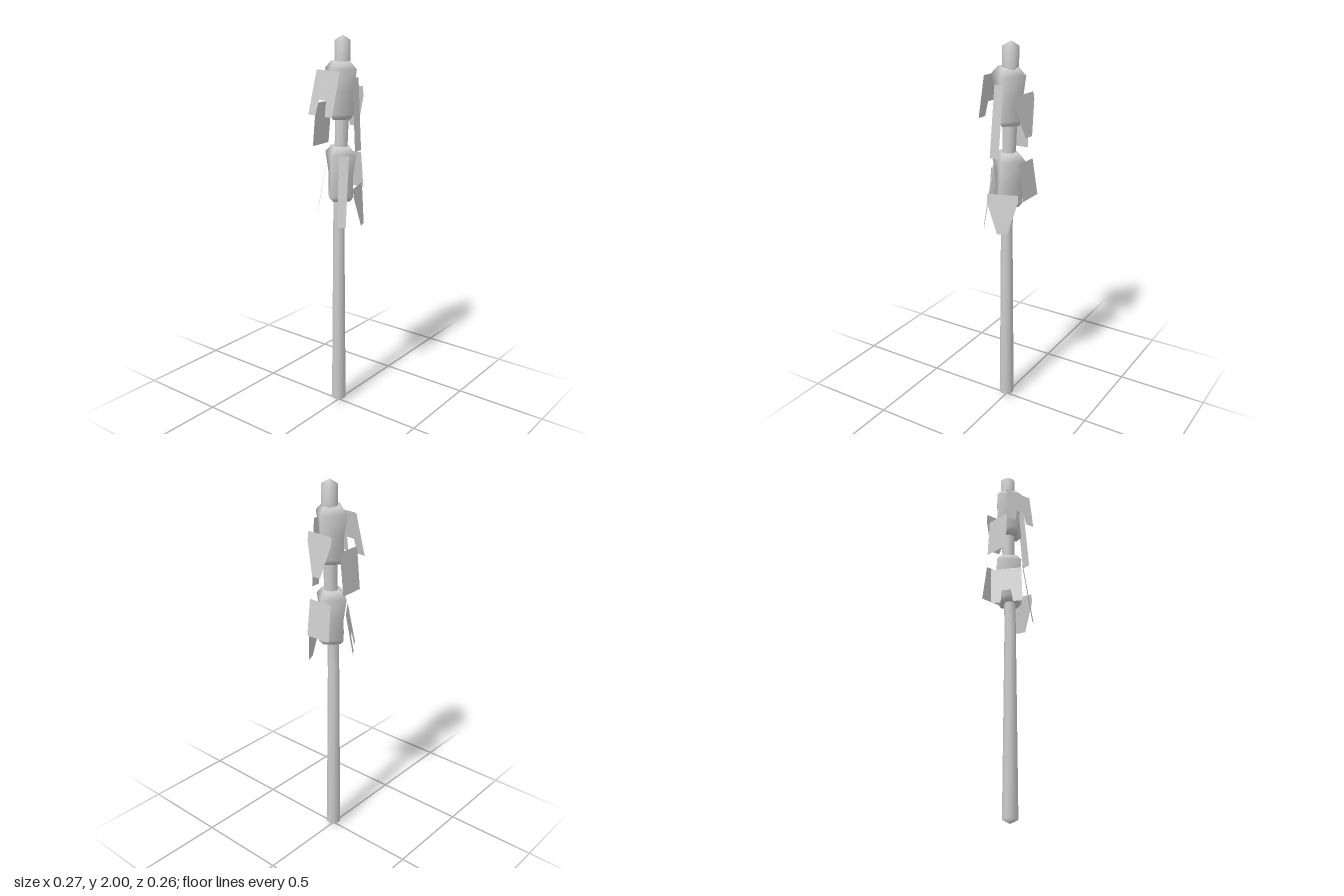
import * as THREE from 'three';

const solid = new THREE.MeshStandardMaterial({ color: 0xcccccc });
const thin = new THREE.MeshStandardMaterial({ color: 0xcccccc, side: THREE.DoubleSide });

// Closed skin over rings of [x, y, z, radius, turn], listed from bottom to top
function loft(name, rings, sides) {
  const pos = [], idx = [];
  for (const [x, y, z, r, turn = 0] of rings) {
    for (let j = 0; j < sides; j++) {
      const a = (j / sides) * Math.PI * 2 + turn;
      pos.push(x + r * Math.cos(a), y, z + r * Math.sin(a));
    }
  }
  for (let i = 0; i < rings.length - 1; i++) {
    for (let j = 0; j < sides; j++) {
      const a = i * sides + j, b = i * sides + ((j + 1) % sides);
      idx.push(a, a + sides, b, b, a + sides, b + sides);
    }
  }
  const geo = new THREE.BufferGeometry();
  geo.setAttribute('position', new THREE.Float32BufferAttribute(pos, 3));
  geo.setIndex(idx);
  geo.computeVertexNormals();
  const mesh = new THREE.Mesh(geo, solid);
  mesh.name = name;
  return mesh;
}

// Card outlines: u across, v from bottom (0) to top (1)
const plain = [[0, 0], [1, 0], [1, 1], [0, 1]];
const pointed = [[0.33, 0], [0.67, 0], [1, 0.82], [1, 1], [0, 1], [0, 0.77]];
const notched = [[0, 0], [0.3, 0], [0.34, 0.35], [0.64, 0.35], [0.7, 0], [1, 0], [1, 1], [0, 1]];

// Thin card hung between a top edge and a bottom edge; each edge is two [x, z] ends
function card(name, outline, yTop, yBottom, top, bottom) {
  const geo = new THREE.ShapeGeometry(new THREE.Shape(outline.map(([u, v]) => new THREE.Vector2(u, v))));
  const p = geo.attributes.position;
  const mix = THREE.MathUtils.lerp;
  for (let i = 0; i < p.count; i++) {
    const u = p.getX(i), v = p.getY(i);
    const [x, z] = [0, 1].map(k => mix(mix(bottom[0][k], bottom[1][k], u), mix(top[0][k], top[1][k], u), v));
    p.setXYZ(i, x, mix(yBottom, yTop, v), z);
  }
  geo.computeVertexNormals();
  const mesh = new THREE.Mesh(geo, thin);
  mesh.name = name;
  return mesh;
}

// Four-sided padded wrap around the pole, slightly twisted
function wrap(name, x, yBottom, yTop) {
  const h = yTop - yBottom;
  const profile = [
    [0, 0, 0], [0, 0.06, 0], [0.1, 0.088, 0.1], [0.5, 0.082, 0.02],
    [0.87, 0.094, -0.08], [1, 0.06, -0.02], [1, 0, 0],
  ];
  return loft(name, profile.map(([t, r, turn]) => [x, yBottom + t * h, 0.002, r, turn]), 4);
}

export function createModel() {
  const model = new THREE.Group();

  // Pole: straight shaft, leaning a little above the lower wrap
  model.add(loft('pole', [
    [0, 0, 0, 0], [0, 0.02, 0, 0.04], [0, 1.0, 0, 0.031], [0.003, 1.2, 0, 0.031],
    [0.018, 1.5, 0.003, 0.035], [0.025, 1.87, 0.004, 0.041],
    [0.025, 1.975, 0.004, 0.041], [0.025, 2, 0.004, 0],
  ], 10));

  // Wraps
  model.add(wrap('upperWrap', 0.013, 1.59, 1.875));
  model.add(wrap('lowerWrap', 0.013, 1.165, 1.45));

  // Cards around the upper wrap
  model.add(
    card('upperFrontCard', plain, 1.8, 1.44, [[-0.012, 0.093], [0.038, 0.093]], [[-0.025, 0.121], [0.026, 0.121]]),
    card('upperLeftCard', pointed, 1.75, 1.54, [[0.09, 0.082], [0.105, -0.08]], [[0.122, 0.082], [0.135, -0.08]]),
    card('upperBackCard', plain, 1.67, 1.45, [[0.064, -0.096], [-0.073, -0.089]], [[0.059, -0.114], [-0.08, -0.105]]),
    card('upperRightCard', notched, 1.835, 1.615, [[-0.064, -0.089], [-0.086, 0.071]], [[-0.109, -0.109], [-0.129, 0.057]]),
  );

  // Cards around the lower wrap
  model.add(
    card('lowerFrontCard', pointed, 1.25, 1.045, [[-0.042, 0.12], [0.107, 0.066]], [[-0.028, 0.147], [0.118, 0.093]]),
    card('lowerLeftCard', plain, 1.41, 1.22, [[0.108, 0.062], [0.108, -0.075]], [[0.134, 0.06], [0.134, -0.084]]),
    card('lowerBackCard', notched, 1.345, 1.125, [[0.034, -0.11], [-0.1, -0.01]], [[0.002, -0.132], [-0.134, -0.034]]),
    card('lowerRightCard', plain, 1.41, 1.05, [[-0.052, 0.04], [-0.021, 0.08]], [[-0.1, 0.066], [-0.075, 0.102]]),
  );
  return model;
}
